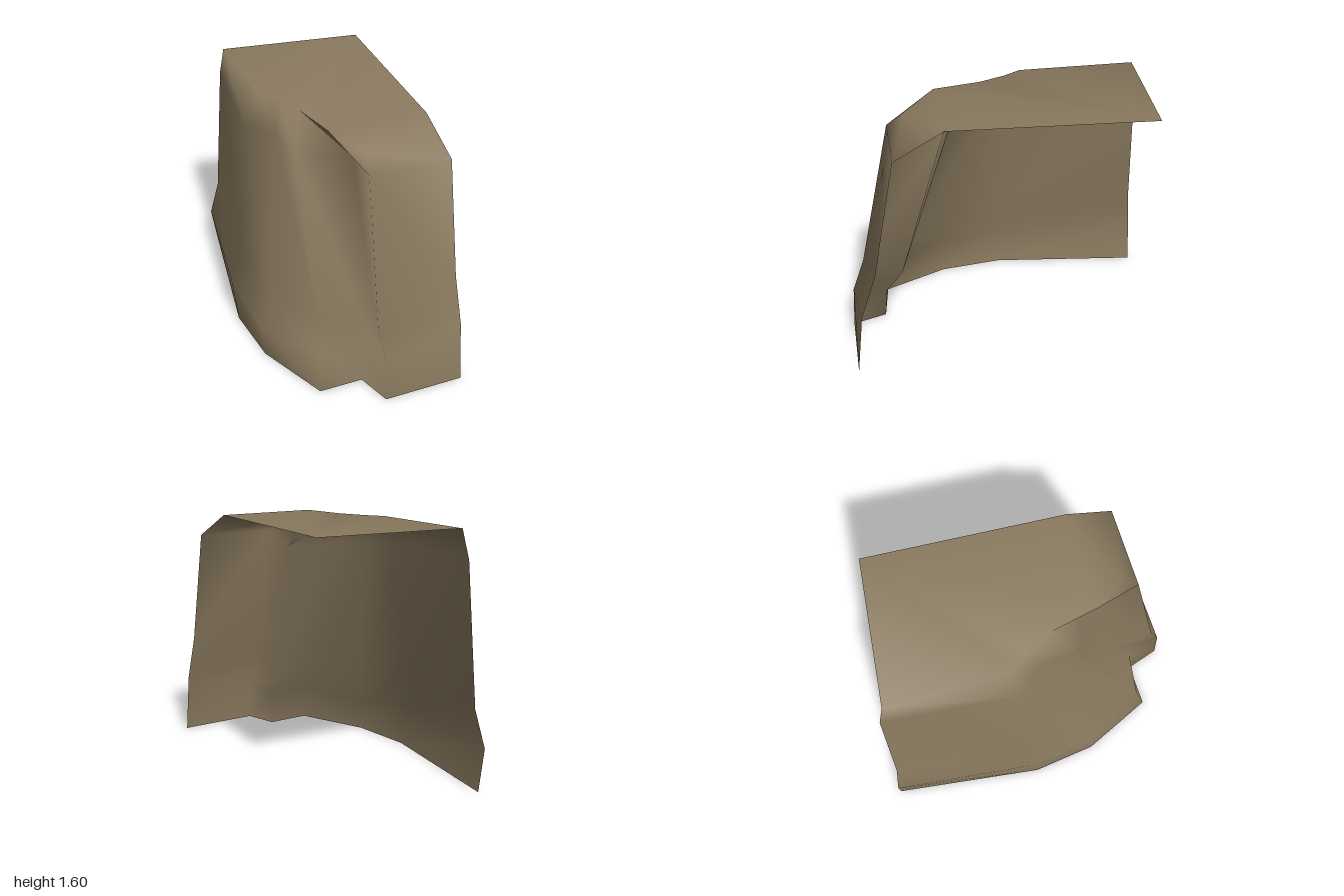
import * as THREE from 'three';

// Open rock cliff corner: a wall swept round the side and front, capped by a flat ledge.
export function createModel() {
  const rock = new THREE.MeshStandardMaterial({ color: 0x8a7a5f, side: THREE.DoubleSide });
  rock.name = 'brown rock';

  // Wall columns from the back of the side wall to the free front edge.
  // Each runs from foot to rim as [x, y, z].
  const columns = [
    [[-0.56, 0, -1], [-0.6, 0.27, -0.995], [-0.54, 0.52, -0.965], [-0.475, 1.42, -0.94], [-0.45, 1.6, -0.9]],
    [[-0.6, 0, -0.03], [-0.625, 0.28, -0.09], [-0.545, 0.53, -0.1], [-0.475, 1.41, -0.1], [-0.37, 1.6, -0.15]],
    [[-0.51, 0, 0.38], [-0.52, 0.2, 0.36], [-0.445, 0.36, 0.28], [-0.32, 1.41, 0.02], [-0.28, 1.6, -0.04]],
    [[-0.26, 0, 0.82], [-0.25, 0.25, 0.75], [-0.22, 0.42, 0.64], [-0.26, 1.39, 0.27], [-0.19, 1.6, 0.12]],
    [[0.02, 0, 0.79], [0.04, 0.21, 0.77], [0.06, 0.36, 0.66], [0.07, 1.37, 0.36], [-0.1, 1.6, 0.41]],
    [[0.11, 0, 1], [0.11, 0.28, 0.985], [0.075, 0.48, 0.91], [0.06, 1.44, 0.705], [0.07, 1.52, 0.6]],
    [[0.625, 0, 0.945], [0.615, 0.4, 0.9], [0.6, 0.7, 0.8], [0.575, 1.44, 0.66], [0.525, 1.6, 0.36]],
  ];

  const rows = columns[0].length;
  const positions = columns.flat(2);
  const index = [];
  for (let j = 0; j < columns.length - 1; j++) {
    for (let i = 0; i < rows - 1; i++) {
      const a = j * rows + i, b = a + rows;
      index.push(a, b, a + 1, b, b + 1, a + 1);
    }
  }

  // Flat ledge fanned from its far back corner to the rim; the lower
  // outer corner of the front is closed with a sloping triangle
  const corner = positions.length / 3;
  positions.push(0.48, 1.6, -0.895);
  const rim = columns.map((c, j) => (j + 1) * rows - 1);
  const [notch, outer, end] = rim.slice(4);
  for (let j = 0; j < 4; j++) index.push(corner, rim[j], rim[j + 1]);
  index.push(corner, notch, end, notch, outer, end);

  const geometry = new THREE.BufferGeometry();
  geometry.setAttribute('position', new THREE.Float32BufferAttribute(positions, 3));
  geometry.setIndex(index);
  geometry.computeVertexNormals();

  const cliff = new THREE.Mesh(geometry, rock);
  cliff.name = 'cliffWallAndLedge';
  const model = new THREE.Group();
  model.name = 'cliffCorner';
  model.add(cliff);
  return model;
}
